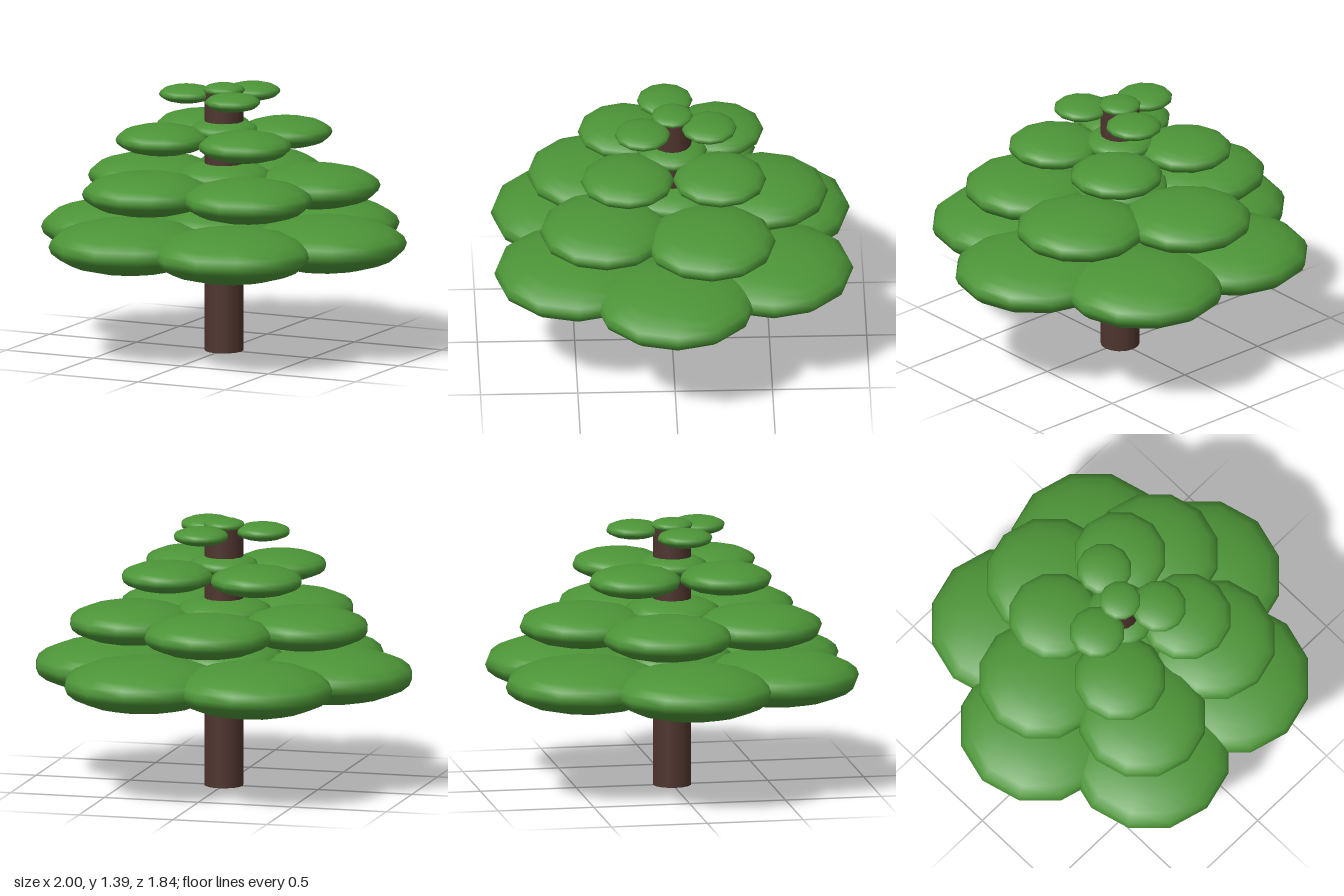
import * as THREE from 'three';

const FLATNESS = 0.323; // height of a foliage pad relative to its width

// Each tier: height, pads, first angle (degrees), ring radius, pad radius, lift of the centre pad
const TIERS = [
  { name: 'bottomTier', y: 0.602, count: 6, start: 0, ring: 0.58, radius: 0.42, lift: 0.055 },
  { name: 'lowerTier', y: 0.863, count: 5, start: 49, ring: 0.47, radius: 0.335, lift: 0.042 },
  { name: 'upperTier', y: 1.12, count: 4, start: 45, ring: 0.335, radius: 0.24, lift: 0.03 },
  { name: 'topTier', y: 1.329, count: 3, start: 51, ring: 0.2, radius: 0.143, lift: 0.031 },
];

export function createModel() {
  const tree = new THREE.Group();
  tree.name = 'tree';

  const bark = new THREE.MeshStandardMaterial({ color: 0x4e342e });
  bark.name = 'barkBrown';
  const leaf = new THREE.MeshStandardMaterial({ color: 0x4c9437 });
  leaf.name = 'leafGreen';

  // Trunk
  const trunkHeight = 1.345;
  const trunk = new THREE.Mesh(new THREE.CylinderGeometry(0.1, 0.1, trunkHeight, 16), bark);
  trunk.name = 'trunk';
  trunk.position.y = trunkHeight / 2;
  tree.add(trunk);

  // Flattened spheres shared by all foliage pads
  const padGeometry = new THREE.SphereGeometry(1, 12, 12);
  const addPad = (group, name, radius, x, y, z) => {
    const pad = new THREE.Mesh(padGeometry, leaf);
    pad.name = name;
    pad.scale.set(radius, radius * FLATNESS, radius);
    pad.position.set(x, y, z);
    group.add(pad);
  };

  // Foliage tiers: a ring of pads around a smaller, slightly raised centre pad
  for (const { name, y, count, start, ring, radius, lift } of TIERS) {
    const tier = new THREE.Group();
    tier.name = name;
    for (let i = 0; i < count; i++) {
      const angle = THREE.MathUtils.degToRad(start + (360 * i) / count);
      addPad(tier, 'foliagePad', radius, Math.cos(angle) * ring, y, Math.sin(angle) * ring);
    }
    addPad(tier, 'centrePad', radius * 0.75, 0, y + lift, 0);
    tree.add(tier);
  }

  return tree;
}
